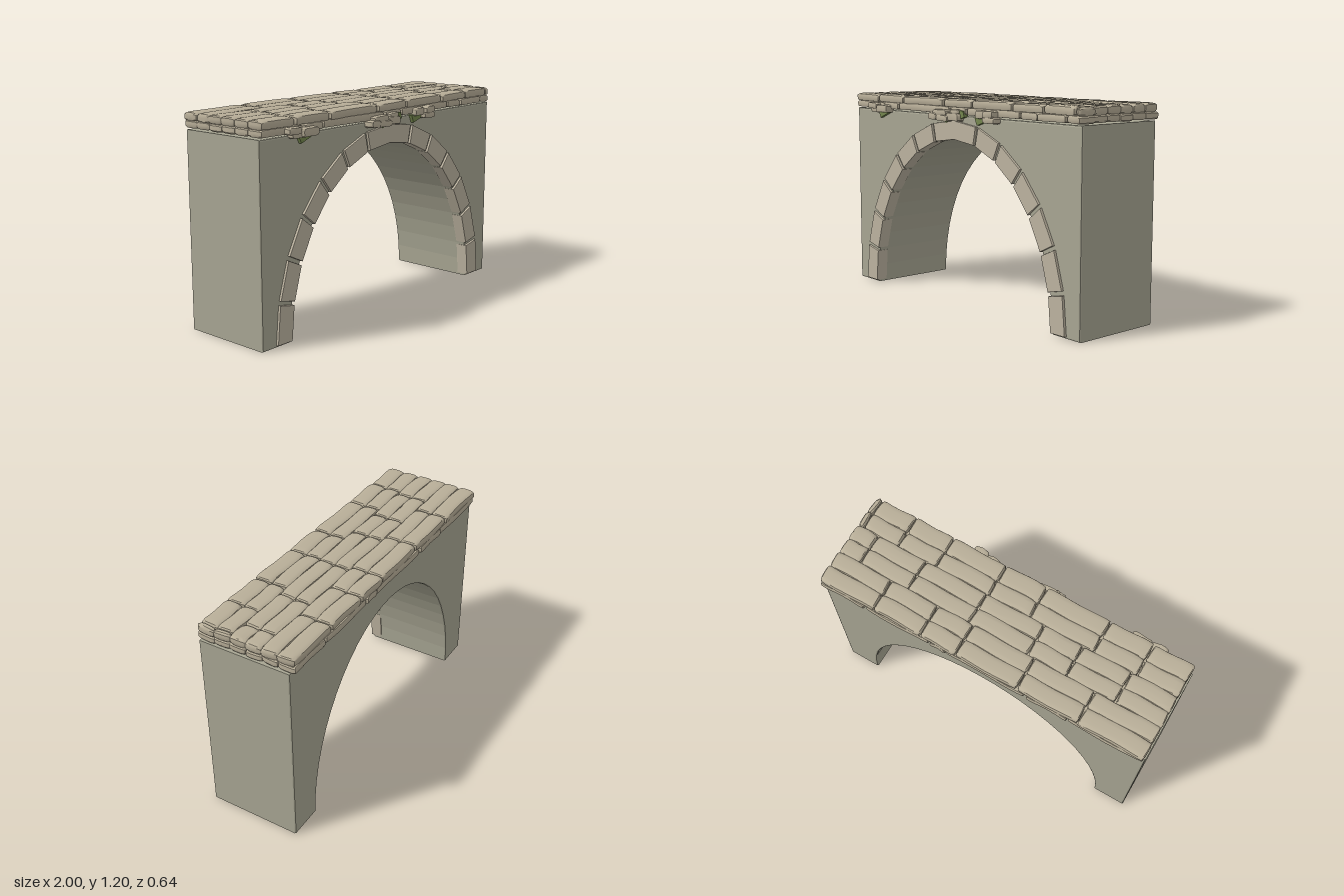
import * as THREE from 'three';
import { toCreasedNormals } from 'three/addons/utils/BufferGeometryUtils.js';

const wallMat = new THREE.MeshStandardMaterial({ color: 0xa8a693 });
const archMat = new THREE.MeshStandardMaterial({ color: 0xbcb3a0 });
const stoneMat = new THREE.MeshStandardMaterial({ color: 0xb8ae98 });
const mossMat = new THREE.MeshStandardMaterial({ color: 0x74864e, side: THREE.DoubleSide });

// Seeded random numbers
let seed = 7;
function rand(a, b) {
  seed = (seed * 16807) % 2147483647;
  return a + (b - a) * (seed / 2147483647);
}

// Point on the arch curve at angle t, offset outwards by d
const archPoint = (t, d = 0) =>
  new THREE.Vector2((0.8 + d) * Math.cos(t), (0.97 + d) * Math.sin(t));

function extrudeFrom(points, z0, z1, bevel) {
  const g = new THREE.ExtrudeGeometry(new THREE.Shape(points), {
    depth: z1 - z0 - 2 * bevel, bevelThickness: bevel, bevelSize: bevel,
    bevelOffset: -bevel, bevelSegments: 2,
  });
  return g.translate(0, 0, z0 + bevel);
}

// Worn stone block: a box with softened edges, a domed top and slight warping
function makeStone(name, x0, x1, y0, y1, z0, z1, dome = 0.22) {
  const g = new THREE.BoxGeometry(2, 2, 2, 8, 4, 8);
  const p = g.attributes.position;
  const spread = (v) => Math.sign(v) * Math.abs(v) ** 0.6;
  const hx = (x1 - x0) / 2, hy = (y1 - y0) / 2, hz = (z1 - z0) / 2;
  const phase = rand(0, 6), skew = rand(-0.006, 0.006), tilt = rand(-0.003, 0.003);
  for (let i = 0; i < p.count; i++) {
    const u = spread(p.getX(i)), v = spread(p.getY(i)), w = spread(p.getZ(i));
    const eu = Math.abs(u) ** 10, ev = Math.abs(v) ** 6, ew = Math.abs(w) ** 4;
    const sag = v > 0 ? dome * ew + 0.12 * eu : 0.1 * ew;
    p.setXYZ(i,
      (x0 + x1) / 2 + u * (hx - 0.006 * ev - 0.006 * ew) + skew * w * (1 - eu * 0.3),
      (y0 + y1) / 2 + v * hy * (1 - sag) + tilt * u * (1 - ev * 0.4),
      (z0 + z1) / 2 + w * hz * (1 - 0.06 * ev - 0.04 * eu) + 0.003 * Math.sin(3 * u + phase));
  }
  g.deleteAttribute('normal');
  const mesh = new THREE.Mesh(toCreasedNormals(g, 0.6), stoneMat);
  mesh.name = name;
  return mesh;
}

function makeWall() {
  const points = [new THREE.Vector2(1, 0), new THREE.Vector2(1, 1.105),
    new THREE.Vector2(-1, 1.105), new THREE.Vector2(-1, 0)];
  for (let i = 28; i >= 0; i--) points.push(archPoint((i / 28) * Math.PI));
  const wall = new THREE.Mesh(extrudeFrom(points, -0.29, 0.26, 0.01), wallMat);
  wall.name = 'archedWall';
  return wall;
}

// Ring of wedge stones; the keystone covers two steps
function makeArchStones() {
  const ring = new THREE.Group();
  ring.name = 'archStones';
  const step = Math.PI / 14, gap = 0.011;
  for (let i = 0; i < 14; i++) {
    if (i === 7) continue;
    const key = i === 6;
    const t0 = i * step + (i === 0 ? 0.012 : gap);
    const t1 = (key ? i + 2 : i + 1) * step - (i === 13 ? 0.012 : gap);
    const ts = key ? [t0, (t0 + t1) / 2, t1] : [t0, t1];
    const points = [...ts.map((t) => archPoint(t, 0.105)),
      ...ts.reverse().map((t) => archPoint(t, -0.002))];
    const stone = new THREE.Mesh(extrudeFrom(points, 0.2, 0.275, 0.004), archMat);
    stone.name = key ? 'keystone' : 'archStone';
    ring.add(stone);
  }
  return ring;
}

// Two courses of paving, six rows deep, with joints along x for each row
function makeDeck() {
  const deck = new THREE.Group();
  deck.name = 'stoneDeck';
  const zs = [-0.318, -0.215, -0.12, -0.025, 0.07, 0.165, 0.275];
  const joints = [
    [-0.995, -0.605, -0.24, 0.135, 0.355, 0.65, 0.998],
    [-0.995, -0.72, -0.43, -0.195, 0.165, 0.55, 0.86, 0.998],
    [-0.995, -0.75, -0.49, -0.1, 0.155, 0.49, 0.735, 0.96, 0.998],
  ];
  for (let r = 0; r < 6; r++) {
    const xs = joints[Math.floor(r / 2)];
    const place = (name, list, y0, y1, dome) => {
      for (let i = 0; i < list.length - 1; i++) {
        const inset = rand(0, 0.006);
        deck.add(makeStone(name, list[i] + 0.002, list[i + 1] - 0.002, y0, y1 - rand(0, 0.005),
          zs[r] + (r === 0 ? inset : -0.002), zs[r + 1] - (r === 5 ? inset : -0.002), dome));
      }
    };
    const shifted = xs.map((x, i) =>
      i === 0 || i === xs.length - 1 ? x : x + (i % 2 ? 0.06 : -0.05) * (x > 0.9 ? -1 : 1));
    place('pavingStone', xs, 1.15, 1.202, 0.28);
    place('lowerPavingStone', shifted, 1.111, 1.156, 0.1);
  }
  return deck;
}

// Small broken stones with moss on the front face
function makeRubble() {
  const rubble = new THREE.Group();
  rubble.name = 'frontRubble';
  const bits = [ // x0, x1, y0, y1, front z
    [-0.83, -0.73, 1.11, 1.147, 0.305], [-0.8, -0.72, 1.088, 1.118, 0.295],
    [-0.735, -0.615, 1.09, 1.137, 0.31],
    [-0.2, -0.12, 1.075, 1.115, 0.315], [-0.17, -0.04, 1.1, 1.135, 0.305],
    [-0.13, -0.02, 1.07, 1.105, 0.31], [-0.04, 0.07, 1.075, 1.12, 0.3],
    [-0.02, 0.06, 1.112, 1.14, 0.295],
    [0.205, 0.29, 1.1, 1.145, 0.3], [0.28, 0.385, 1.078, 1.112, 0.31],
    [0.285, 0.375, 1.108, 1.148, 0.315],
  ];
  for (const [x0, x1, y0, y1, z] of bits) {
    rubble.add(makeStone('rubbleStone', x0, x1, y0, y1, 0.245, z, 0.1));
  }
  const patches = [
    [[-0.74, 1.095], [-0.72, 1.056], [-0.62, 1.095]],
    [[-0.08, 1.08], [-0.07, 1.06], [0.0, 1.085]],
    [[0.03, 1.135], [0.07, 1.09], [0.1, 1.1], [0.09, 1.135]],
    [[0.19, 1.105], [0.21, 1.06], [0.3, 1.09], [0.25, 1.11]],
  ];
  for (const pts of patches) {
    const shape = new THREE.Shape(pts.map(([x, y]) => new THREE.Vector2(x, y)));
    const moss = new THREE.Mesh(
      new THREE.ExtrudeGeometry(shape, { depth: 0.03, bevelEnabled: false }), mossMat);
    moss.position.z = 0.25;
    moss.name = 'mossPatch';
    rubble.add(moss);
  }
  return rubble;
}

export function createModel() {
  seed = 7;
  const model = new THREE.Group();
  model.name = 'stoneArchBridge';
  model.add(makeWall(), makeArchStones(), makeDeck(), makeRubble());
  return model;
}
